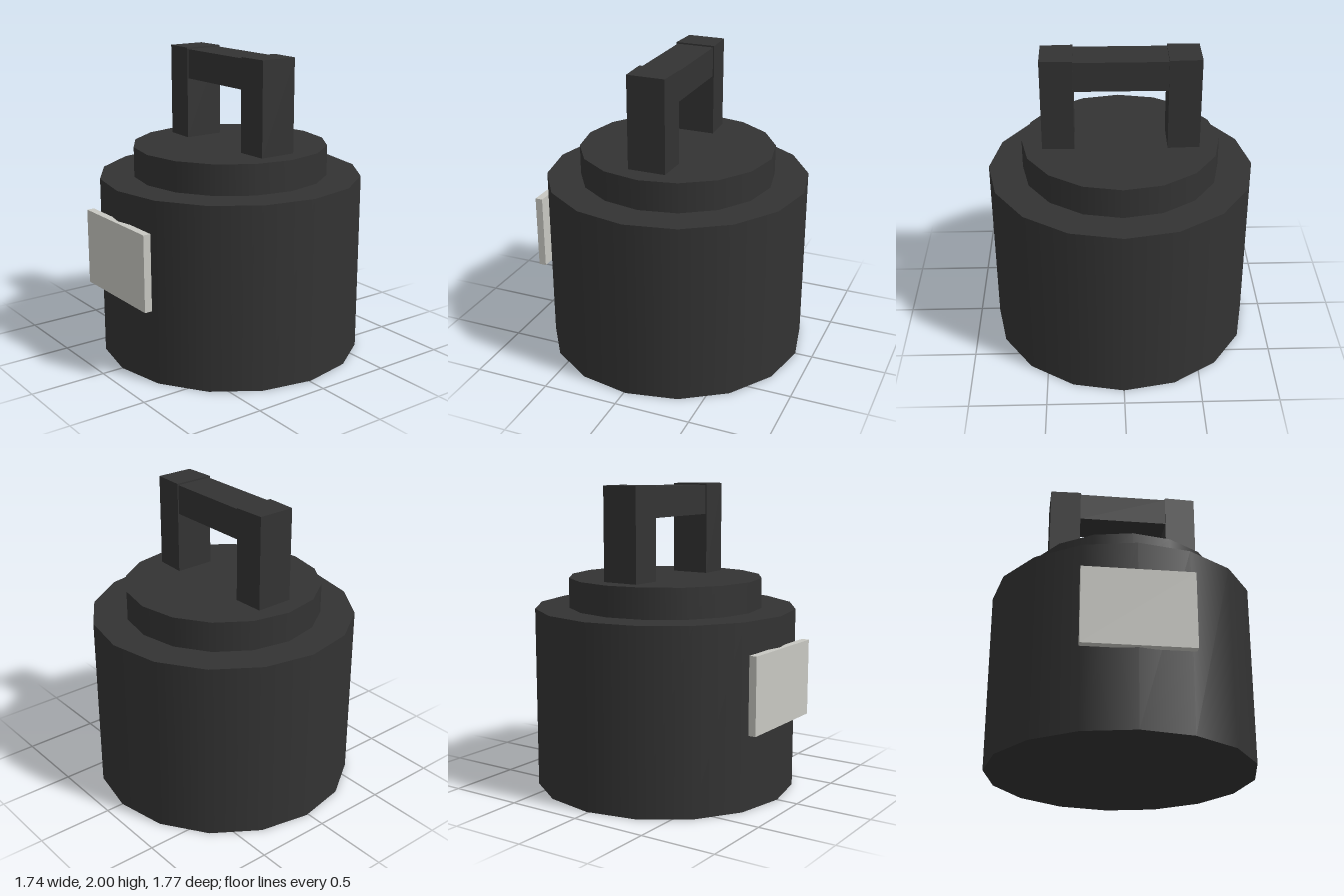
import * as THREE from 'three';

export function createModel() {
  const model = new THREE.Group();
  const CZ = -0.013; // shared axis of body, cap and handle

  const dark = new THREE.MeshStandardMaterial({ color: 0x333333 });
  dark.name = 'charcoal';
  const pale = new THREE.MeshStandardMaterial({ color: 0xc8c8c2 });
  pale.name = 'pale grey';

  function add(name, geometry, material, x, y, z) {
    const mesh = new THREE.Mesh(geometry, material);
    mesh.name = name;
    mesh.position.set(x, y, z);
    model.add(mesh);
  }

  // Round weight body with a stepped cap, sixteen sides, smooth walls
  add('body', new THREE.CylinderGeometry(0.87, 0.87, 1.195, 16), dark, 0, 0.5975, CZ);
  add('cap', new THREE.CylinderGeometry(0.645, 0.645, 0.2, 16), dark, 0, 1.293, CZ);

  // Handle posts, slightly narrower on the outer side
  for (const side of [1, -1]) {
    const post = new THREE.BoxGeometry(0.207, 0.607, 0.266);
    const p = post.attributes.position;
    for (let i = 0; i < p.count; i++) {
      if (p.getX(i) * side > 0) p.setZ(i, p.getZ(i) * 0.94);
    }
    post.computeVertexNormals();
    add(side > 0 ? 'leftHandlePost' : 'rightHandlePost', post, dark, side * 0.4025, 1.6965, CZ);
  }

  // Handle grip between the posts
  add('handleGrip', new THREE.BoxGeometry(0.6, 0.195, 0.25), dark, 0, 1.8925, CZ);

  // Label plate on the front
  add('labelPlate', new THREE.BoxGeometry(0.695, 0.497, 0.05), pale, 0, 0.75, 0.86);

  return model;
}
